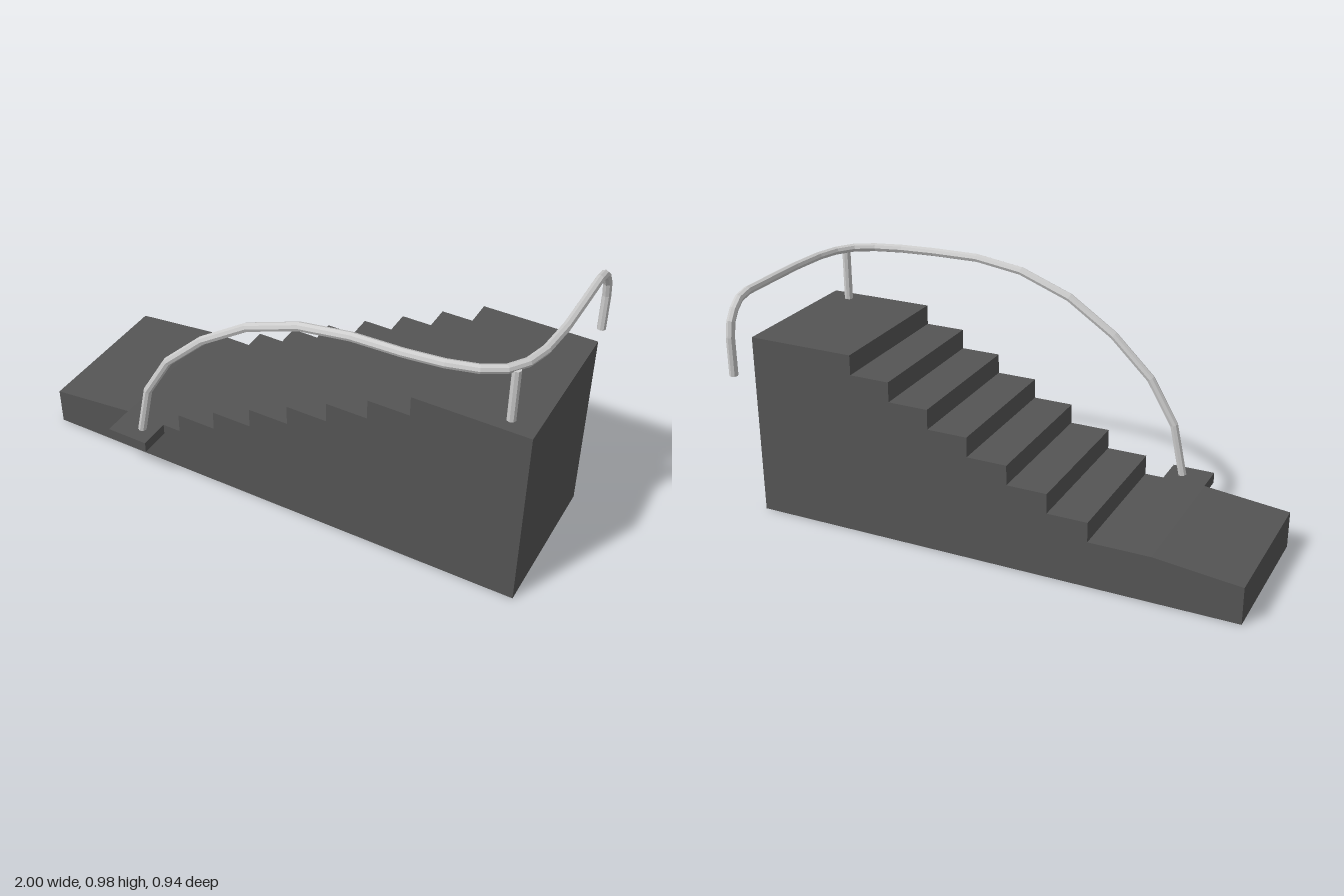
import * as THREE from 'three';

const stone = new THREE.MeshStandardMaterial({ color: 0x555555, flatShading: true });
const metal = new THREE.MeshStandardMaterial({ color: 0xcccccc, flatShading: true });
const RADIUS = 0.017, SIDES = 8;

function addMesh(parent, name, geometry, material) {
  const mesh = new THREE.Mesh(geometry, material);
  mesh.name = name;
  parent.add(mesh);
  return mesh;
}

// Curve whose tube rings sit exactly on the given points
class RingPath extends THREE.CatmullRomCurve3 {
  getPointAt(u, target) { return this.getPoint(u, target); }
  getTangentAt(u, target) { return this.getTangent(u, target); }
}

export function createModel() {
  const model = new THREE.Group();
  model.name = 'staircase';

  // Solid stair block: entry ramp, seven risers, top landing
  const profile = new THREE.Shape();
  profile.moveTo(-1, 0);
  profile.lineTo(1, 0);
  profile.lineTo(1, 0.747);
  const steps = 7, x0 = -0.41, y0 = 0.187, run = 0.162, rise = 0.08;
  for (let i = steps - 1; i >= 0; i--) {
    const x = x0 + run * i;
    profile.lineTo(x, y0 + rise * (i + 1));
    profile.lineTo(x, y0 + rise * i);
  }
  profile.lineTo(-0.655, y0);
  profile.lineTo(-1, 0.15);
  const block = new THREE.ExtrudeGeometry(profile, { depth: 0.604, bevelEnabled: false });
  block.translate(0, 0, -0.26);
  addMesh(model, 'stairBlock', block, stone);

  // Ledge that carries the foot of the handrail
  const ledge = addMesh(model, 'railLedge', new THREE.BoxGeometry(0.17, 0.044, 0.126), stone);
  ledge.position.set(-0.57, 0.165, 0.406);

  // Handrail: arch up the side, bend across the landing, hook down at the back
  const points = [
    [-0.545, 0.187, 0.401], [-0.5, 0.395, 0.401], [-0.395, 0.573, 0.401],
    [-0.235, 0.728, 0.401], [-0.045, 0.855, 0.401], [0.165, 0.934, 0.401],
    [0.36, 0.962, 0.399], [0.55, 0.962, 0.393], [0.69, 0.962, 0.377],
    [0.8, 0.962, 0.348], [0.875, 0.962, 0.305], [0.92, 0.962, 0.24],
    [0.945, 0.962, 0.15], [0.957, 0.962, 0], [0.957, 0.962, -0.16],
    [0.956, 0.962, -0.32], [0.955, 0.95, -0.376], [0.954, 0.92, -0.412],
    [0.954, 0.88, -0.437], [0.954, 0.82, -0.449], [0.954, 0.668, -0.449],
  ].map((p) => new THREE.Vector3(...p));
  const path = new RingPath(points);
  const rail = new THREE.Group();
  rail.name = 'handrail';
  model.add(rail);
  addMesh(rail, 'railTube', new THREE.TubeGeometry(path, points.length - 1, RADIUS, SIDES), metal);

  // Caps close both rail ends
  for (const [name, u, sign] of [['footCap', 0, -1], ['hookCap', 1, 1]]) {
    const cap = addMesh(rail, name, new THREE.CircleGeometry(RADIUS, SIDES), metal);
    cap.position.copy(path.getPoint(u));
    cap.quaternion.setFromUnitVectors(
      new THREE.Vector3(0, 0, 1), path.getTangent(u).multiplyScalar(sign));
  }

  // Post between the landing and the rail
  const post = addMesh(model, 'railPost',
    new THREE.CylinderGeometry(RADIUS, RADIUS, 0.212, SIDES), metal);
  post.position.set(0.9, 0.85, 0.285);

  return model;
}
